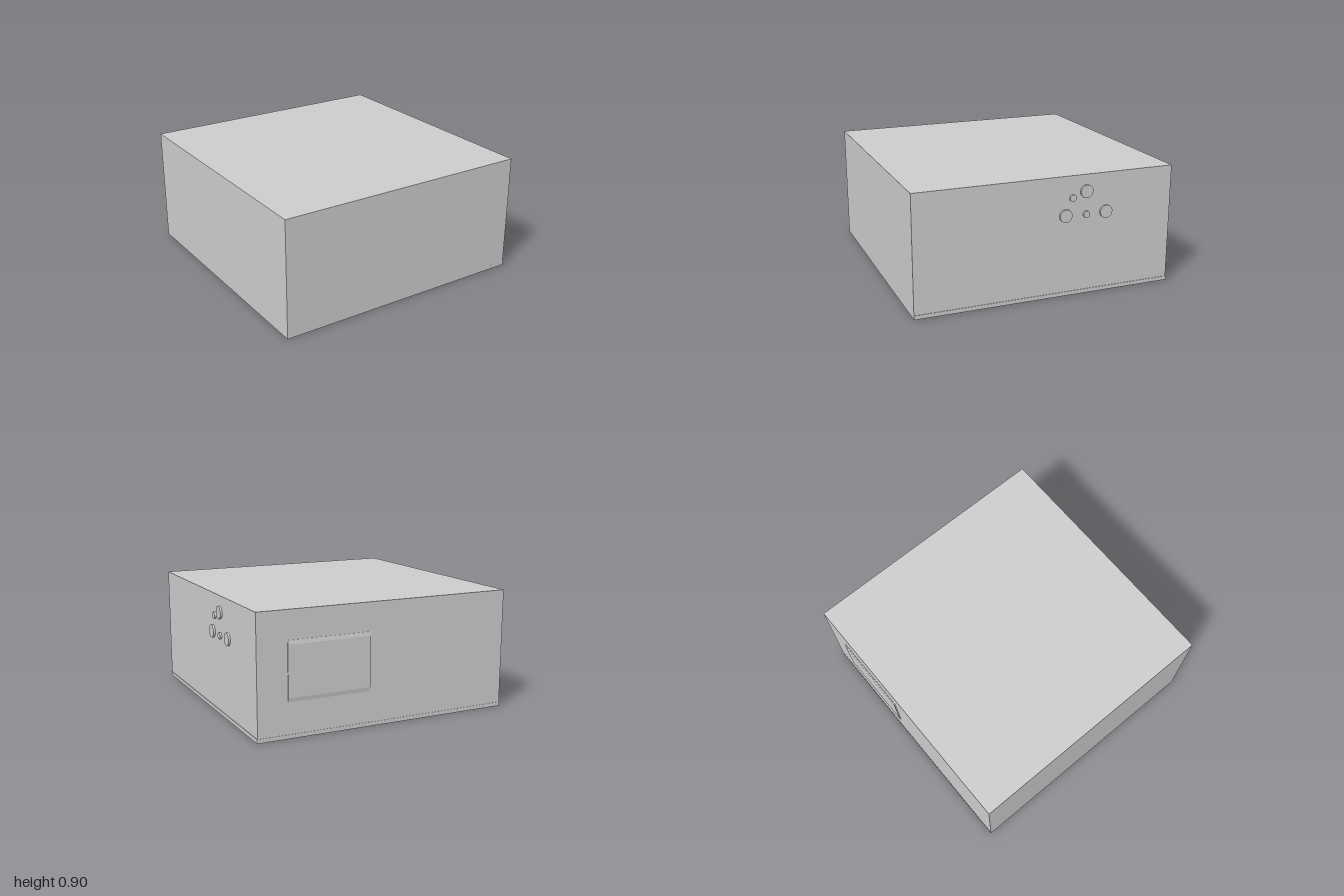
import * as THREE from 'three';

export function createModel() {
  const group = new THREE.Group();
  const material = new THREE.MeshStandardMaterial({ color: 0xcccccc });

  const add = (name, geometry, x, y, z) => {
    const mesh = new THREE.Mesh(geometry, material);
    mesh.name = name;
    mesh.position.set(x, y, z);
    group.add(mesh);
    return mesh;
  };

  // Main housing and the slightly wider base plate under it
  add('housing', new THREE.BoxGeometry(1.985, 0.87, 1.982), -0.0075, 0.465, 0.004);
  add('basePlate', new THREE.BoxGeometry(1.989, 0.03, 1.984), -0.0055, 0.015, 0.003);

  // Round sockets on the left side: [y, z, radius]
  const sockets = [
    [0.776, -0.295, 0.048],
    [0.61, -0.453, 0.048],
    [0.61, -0.135, 0.048],
    [0.738, -0.187, 0.025],
    [0.605, -0.297, 0.025],
  ];
  for (const [y, z, r] of sockets) {
    const socket = add('socket', new THREE.CylinderGeometry(r, r, 0.02, 32), 0.99, y, z);
    socket.rotation.z = -Math.PI / 2;
  }

  // Thin rear panel with sloped upper and lower edges, extruded along x
  const profile = new THREE.Shape([
    new THREE.Vector2(0.98, 0.26),
    new THREE.Vector2(0.989, 0.26),
    new THREE.Vector2(0.995, 0.29),
    new THREE.Vector2(0.995, 0.66),
    new THREE.Vector2(0.989, 0.69),
    new THREE.Vector2(0.98, 0.69),
  ]);
  const panel = add(
    'rearPanel',
    new THREE.ExtrudeGeometry(profile, { depth: 0.63, bevelEnabled: false }),
    0.76, 0, 0
  );
  panel.rotation.y = Math.PI / 2;
  panel.position.x = 0.13;

  return group;
}
